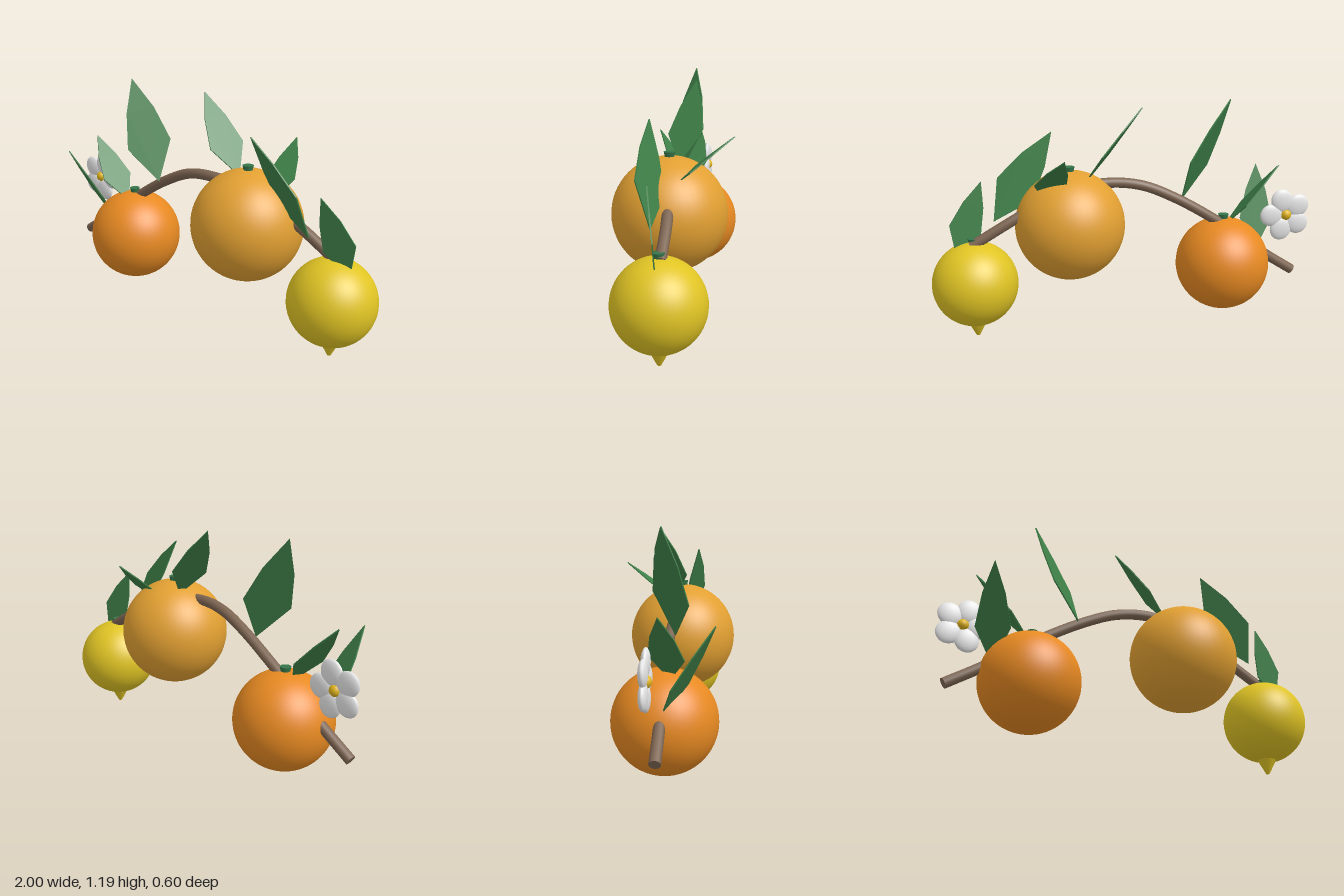
import * as THREE from 'three';

const mat = (name, color, side = THREE.FrontSide) => {
  const m = new THREE.MeshStandardMaterial({ color, side });
  m.name = name;
  return m;
};

export function createModel() {
  const model = new THREE.Group();
  model.name = 'citrusBranch';
  const bark = mat('bark', 0x7d6552);
  const green = mat('leafGreen', 0x3f8048);
  const calyxGreen = mat('calyxGreen', 0x35764a);
  const orange = mat('orangePeel', 0xe88a22);
  const amber = mat('amberPeel', 0xe2a032);
  const lemon = mat('lemonPeel', 0xe0c424);
  const white = mat('petalWhite', 0xf2f2f2);
  const pollen = mat('pollenYellow', 0xe0b41e);
  const v = (a) => new THREE.Vector3(...a);

  const add = (name, geometry, material, pos = [0, 0, 0], parent = model) => {
    const mesh = new THREE.Mesh(geometry, material);
    mesh.name = name;
    mesh.position.set(...pos);
    parent.add(mesh);
    return mesh;
  };

  // Arching branch, running through the largest fruit
  const path = new THREE.CatmullRomCurve3([
    [-0.945, 0.23, 0], [-0.767, 0.345, 0], [-0.5, 0.54, -0.01], [-0.26, 0.68, 0.005],
    [-0.09, 0.748, 0.02], [0.09, 0.765, 0.033], [0.33, 0.73, 0.015],
    [0.57, 0.61, -0.015], [0.79, 0.485, -0.02],
  ].map(v));
  add('branch', new THREE.TubeGeometry(path, 64, 0.027, 12), bark);
  for (const [t, turn] of [[0, -1], [1, 1]]) {
    const cap = add('branchEnd', new THREE.CircleGeometry(0.027, 12), bark, path.getPoint(t).toArray());
    cap.lookAt(path.getPoint(t).addScaledVector(path.getTangent(t), turn));
  }

  // Round fruits, each with a small calyx on top
  const fruit = (name, pos, r, material) => {
    const g = new THREE.Group();
    g.name = name;
    g.position.set(...pos);
    model.add(g);
    add('peel', new THREE.SphereGeometry(r, 48, 32), material, [0, 0, 0], g);
    add('calyx', new THREE.CylinderGeometry(0.028, 0.02, 0.04, 12), calyxGreen, [0, r + 0.002, 0], g);
    return g;
  };
  fruit('orange', [-0.54, 0.3, 0], 0.25, orange);
  fruit('grapefruit', [0.283, 0.558, 0.017], 0.283, amber);
  const lemonFruit = fruit('lemon', [0.778, 0.284, -0.01], 0.217, lemon);
  add('lemonTip', new THREE.CylinderGeometry(0.05, 0.009, 0.078, 16), lemon, [0, -0.245, 0], lemonFruit);

  // Thin six-cornered leaves: base, tip, and the half-width vector at the widest point
  const leaf = (base, tip, side) => {
    const b = v(base), axis = v(tip).sub(b), s = v(side);
    const length = axis.length(), w = s.length();
    axis.normalize();
    s.addScaledVector(axis, -s.dot(axis)).normalize();
    const normal = s.clone().cross(axis);
    const shape = new THREE.Shape([
      [0, 0], [w, 0.36 * length], [0.64 * w, 0.69 * length], [0, length],
      [-0.64 * w, 0.69 * length], [-w, 0.36 * length],
    ].map(([x, y]) => new THREE.Vector2(x, y)));
    const geo = new THREE.ExtrudeGeometry(shape, { depth: 0.006, bevelEnabled: false });
    geo.translate(0, 0, -0.003);
    geo.applyMatrix4(new THREE.Matrix4().makeBasis(s, axis, normal).setPosition(b));
    add('leaf', geo, green);
  };
  leaf([-0.315, 0.66, 0.03], [-0.553, 1.185, -0.014], [-0.075, -0.02, 0.09]);
  leaf([0.205, 0.785, -0.015], [-0.075, 1.163, -0.07], [-0.035, -0.005, 0.088]);
  leaf([-0.56, 0.5, 0.03], [-0.842, 0.825, 0], [-0.018, -0.007, 0.083]);
  leaf([-0.73, 0.36, 0], [-0.805, 0.785, 0.24], [0.08, -0.005, 0.03]);
  leaf([0.42, 0.7, 0.02], [0.345, 0.953, -0.298], [0.08, 0.01, -0.01]);
  leaf([0.67, 0.59, 0.045], [0.36, 1.03, 0.1], [0.083, 0.05, 0.052]);
  leaf([0.865, 0.43, -0.01], [0.725, 0.8, 0.048], [0.076, 0.032, -0.013]);

  // Five-petalled blossom
  const blossom = new THREE.Group();
  blossom.name = 'blossom';
  blossom.position.set(-0.875, 0.562, -0.047);
  model.add(blossom);
  for (let i = 0; i < 5; i++) {
    const a = (i * Math.PI * 2) / 5;
    const petal = add('petal', new THREE.SphereGeometry(1, 20, 14), white,
      [Math.cos(a) * 0.08, Math.sin(a) * 0.08, 0], blossom);
    petal.scale.set(0.064, 0.06, 0.021);
    petal.rotation.z = a;
  }
  add('blossomCentre', new THREE.SphereGeometry(0.03, 16, 12), pollen, [0, 0, 0], blossom);

  return model;
}
